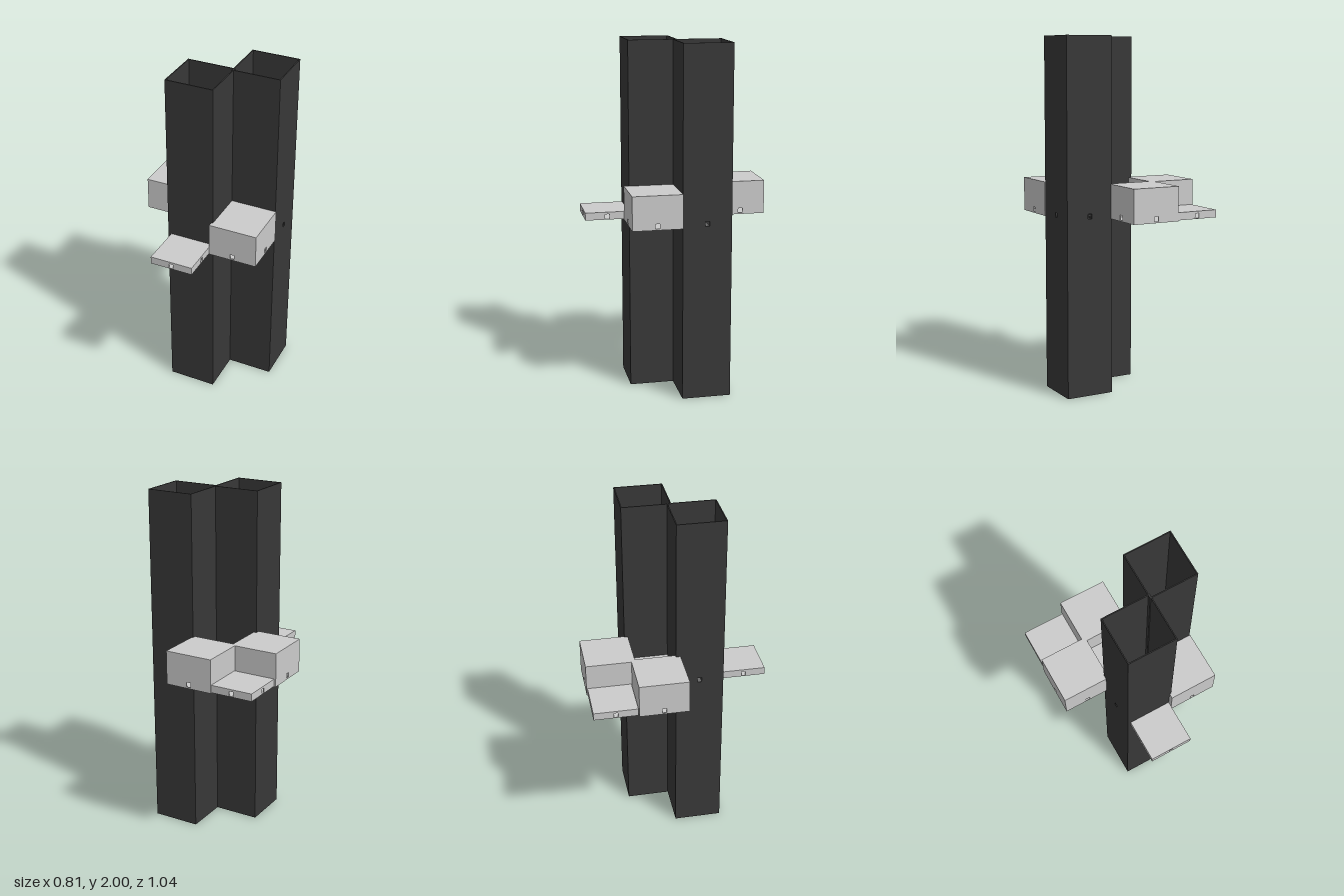
import * as THREE from 'three';

const T = 0.006; // wall thickness
const DOOR_Y = 1.0, DOOR_W = 0.024, DOOR_H = 0.03;
const grey = new THREE.MeshStandardMaterial({ color: 0xcccccc });
const dark = new THREE.MeshStandardMaterial({ color: 0x383838 });
const mid = new THREE.MeshStandardMaterial({ color: 0x6b6b6b });

function slab(name, mat, w, h, d, y) {
  const mesh = new THREE.Mesh(new THREE.BoxGeometry(w, h, d), mat);
  mesh.name = name;
  mesh.position.y = y;
  return mesh;
}

// Flat wall with a small doorway, standing from y0 to y1, outer face at z = 0
function wallGeometry(size, y0, y1) {
  const s = size / 2, d = DOOR_W / 2;
  const shape = new THREE.Shape([[-s, y0], [s, y0], [s, y1], [-s, y1]].map(p => new THREE.Vector2(...p)));
  const a = DOOR_Y + 0.003, b = DOOR_Y + DOOR_H;
  shape.holes.push(new THREE.Path([[-d, a], [-d, b], [d, b], [d, a]].map(p => new THREE.Vector2(...p))));
  return new THREE.ExtrudeGeometry(shape, { depth: T, bevelEnabled: false }).translate(0, 0, -T);
}

// Square cell: four walls with doorways, a floor and an optional roof
function cell(name, mat, size, x, z, y0, y1, roofed) {
  const g = new THREE.Group();
  g.name = name;
  const geo = wallGeometry(size, y0, y1).translate(0, 0, size / 2);
  for (let i = 0; i < 4; i++) {
    const wall = new THREE.Mesh(geo, mat);
    wall.name = 'wall';
    wall.rotation.y = i * Math.PI / 2;
    g.add(wall);
  }
  const inner = size - T;
  const t = 0.003;
  g.add(slab('floor', mat, inner, t, inner, y0 + t / 2));
  if (roofed) g.add(slab('roof', mat, inner, t, inner, y1 - t / 2));
  g.position.set(x, 0, z);
  return g;
}

export function createModel() {
  const model = new THREE.Group();
  model.name = 'towerComplex';

  // Tall open shafts with crossing walkways at door level
  for (const [name, x, z] of [['frontTower', -0.004, 0.13], ['sideTower', 0.262, -0.122]]) {
    const tower = cell(name, dark, 0.277, x, z, 0, 2, false);
    const len = 0.277 - T;
    tower.add(slab('walkway', mid, len, 0.005, 0.026, DOOR_Y));
    tower.add(slab('crossWalkway', mid, 0.026, 0.005, len, DOOR_Y));
    model.add(tower);
  }

  // High rooms
  for (const [x, z] of [[-0.265, -0.122], [-0.008, -0.38], [0.265, 0.157]])
    model.add(cell('highRoom', grey, 0.28, x, z, 0.995, 1.188, true));

  // Low rooms
  for (const [x, z] of [[-0.272, -0.39], [-0.004, -0.115], [0, 0.392]])
    model.add(cell('lowRoom', grey, 0.249, x, z, 0.999, 1.042, true));

  return model;
}
